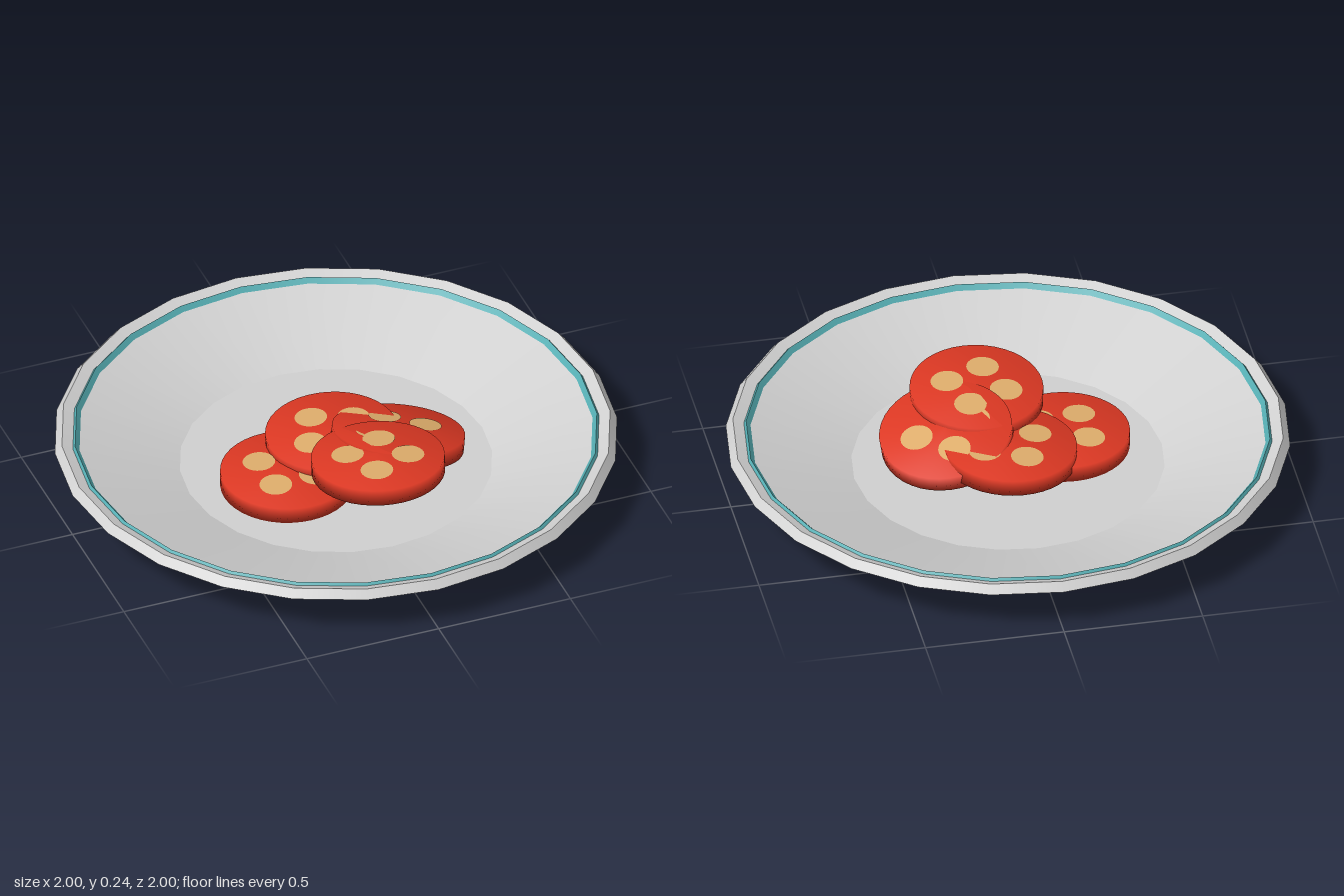
import * as THREE from 'three';

const material = (name, color) => {
  const m = new THREE.MeshStandardMaterial({ color });
  m.name = name;
  return m;
};

export function createModel() {
  const model = new THREE.Group();
  model.name = 'plateOfTomatoSlices';

  const china = material('white china', 0xd2d2d2);
  const teal = material('teal glaze', 0x55adb2);
  const red = material('tomato red', 0xdc3823);
  const tan = material('seed tan', 0xdfae6c);

  // Turned surface; the profile runs from the bottom outwards, up and back in
  const turn = (name, mat, points, sides) => {
    const profile = points.map(([r, y]) => new THREE.Vector2(r, y));
    const mesh = new THREE.Mesh(new THREE.LatheGeometry(profile, sides), mat);
    mesh.name = name;
    return mesh;
  };

  // Plate: separate bands keep the edges between them sharp
  const plate = new THREE.Group();
  plate.name = 'plate';
  plate.add(
    turn('plateBase', china, [[0, 0], [0.56, 0]], 24),
    turn('plateOutside', china, [[0.56, 0], [0.605, 0.04], [0.96, 0.155], [1, 0.17]], 24),
    turn('rimOuterBevel', china, [[1, 0.17], [0.975, 0.2]], 24),
    turn('rimInnerBevel', china, [[0.975, 0.2], [0.935, 0.184]], 24),
    turn('plateInside', china, [[0.935, 0.184], [0.555, 0.06]], 24),
    turn('plateFloor', china, [[0.555, 0.06], [0, 0.06]], 24),
    turn('glazeRingOuter', teal, [[0.938, 0.182], [0.928, 0.194]], 24),
    turn('glazeRingInner', teal, [[0.928, 0.194], [0.91, 0.174]], 24)
  );
  model.add(plate);

  // Tomato slice: low domed disc with four seed pockets
  const R = 0.237, RIM = 0.03, DOME = 0.042;
  const seedGeometry = new THREE.CircleGeometry(0.058, 24).rotateX(-Math.PI / 2);
  const up = new THREE.Vector3(0, 1, 0);

  // x, z: centre; top: height of the upper face; gx, gz: its slope; turnAngle: seed rotation
  const slices = [
    { x: -0.212, z: 0.067, top: 0.132, gx: 0, gz: 0, turnAngle: 0.75 },
    { x: 0, z: -0.04, top: 0.172, gx: 0.03, gz: 0, turnAngle: 2.74 },
    { x: 0.215, z: 0.06, top: 0.193, gx: -0.17, gz: 0.19, turnAngle: -0.1 },
    { x: 0.065, z: 0.24, top: 0.237, gx: 0, gz: 0.08, turnAngle: 0.4 },
  ];

  slices.forEach(({ x, z, top, gx, gz, turnAngle }, i) => {
    const slice = new THREE.Group();
    slice.name = `tomatoSlice${i + 1}`;
    slice.add(turn('flesh', red, [[0, -DOME], [R, -RIM], [R, RIM], [0, DOME]], 40));

    // Seed pockets lie on the dome, on both faces
    for (const face of [0, Math.PI]) {
      const side = new THREE.Group();
      side.name = face ? 'lowerSeeds' : 'upperSeeds';
      side.rotation.x = face;
      for (let k = 0; k < 4; k++) {
        const arm = new THREE.Group();
        arm.name = 'seedPocket';
        arm.rotation.y = -(turnAngle + k * Math.PI / 2) * (face ? -1 : 1);
        const seed = new THREE.Mesh(seedGeometry, tan);
        seed.name = 'seed';
        seed.position.set(0.107, DOME - 0.0035, 0);
        seed.rotation.z = -(DOME - RIM) / R;
        arm.add(seed);
        side.add(arm);
      }
      slice.add(side);
    }

    const normal = new THREE.Vector3(-gx, 1, -gz).normalize();
    slice.quaternion.setFromUnitVectors(up, normal);
    slice.position.set(x, top, z).addScaledVector(normal, -DOME);
    model.add(slice);
  });

  return model;
}
